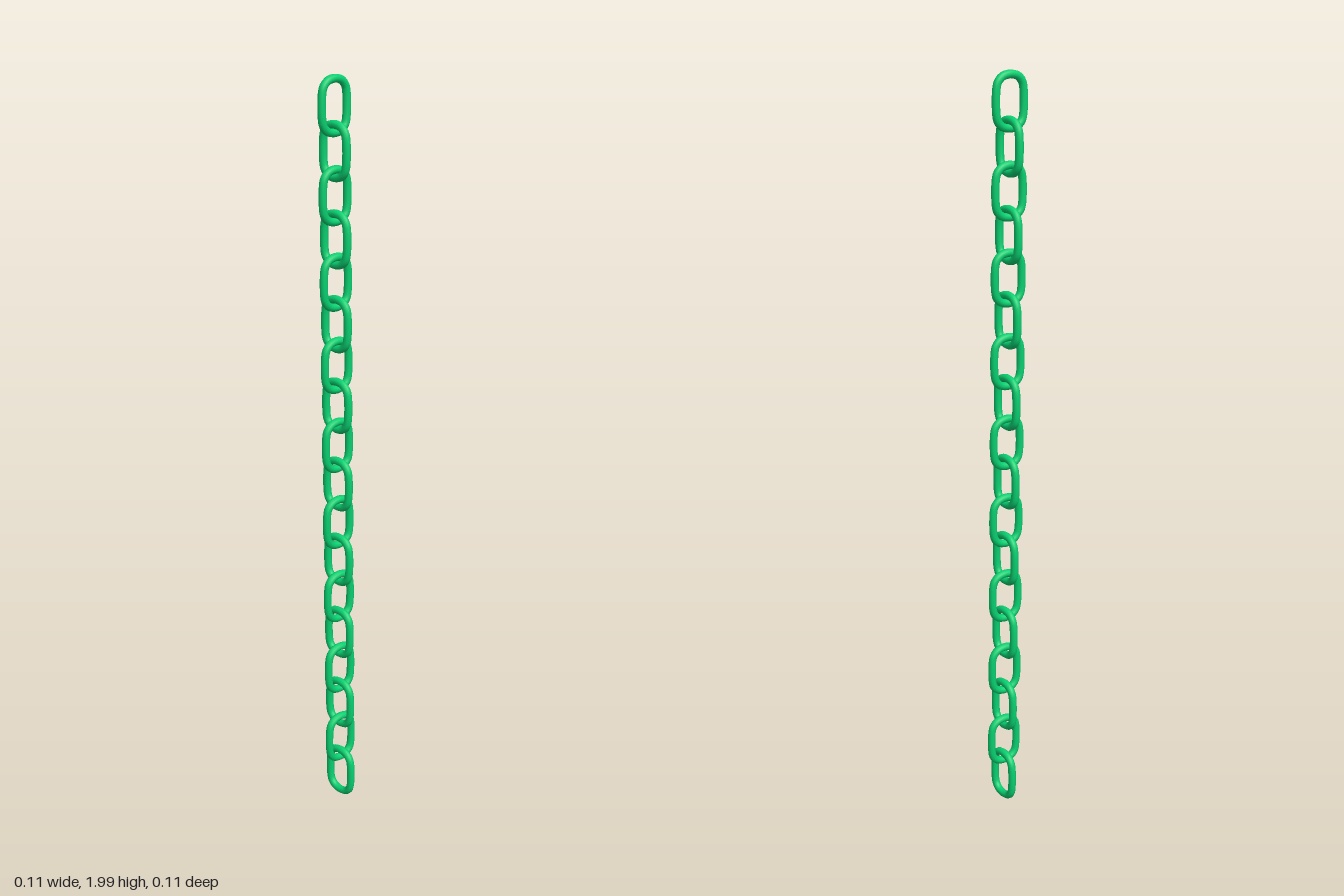
import * as THREE from 'three';

const LINKS = 18;
const WIRE = 0.0105;

// Rounded oval centreline of one link, in the XY plane
function linkPath(halfW, halfH, r) {
  const points = [];
  const corners = [[1, 1], [-1, 1], [-1, -1], [1, -1]];
  corners.forEach(([sx, sy], q) => {
    for (let i = 0; i <= 3; i++) {
      const a = (q + i / 3) * Math.PI / 2;
      points.push(new THREE.Vector3(
        sx * (halfW - r) + r * Math.cos(a),
        sy * (halfH - r) + r * Math.sin(a), 0));
    }
  });
  return new THREE.CatmullRomCurve3(points, true);
}

export function createModel() {
  const chain = new THREE.Group();
  chain.name = 'chain';
  const material = new THREE.MeshStandardMaterial({ color: 0x08d070 });
  const geometry = new THREE.TubeGeometry(linkPath(0.039, 0.064, 0.034), 48, WIRE, 10, true);

  // Links alternate by a quarter turn and hang on a slightly leaning line
  const top = new THREE.Vector3(-0.007, 1.923, -0.004);
  const bottom = new THREE.Vector3(0.007, 0.082, 0.005);
  for (let i = 0; i < LINKS; i++) {
    const link = new THREE.Mesh(geometry, material);
    link.name = 'link' + (i + 1);
    link.position.lerpVectors(top, bottom, i / (LINKS - 1));
    link.rotation.y = i % 2 ? Math.PI / 2 + 0.05 : 0;
    chain.add(link);
  }
  return chain;
}
